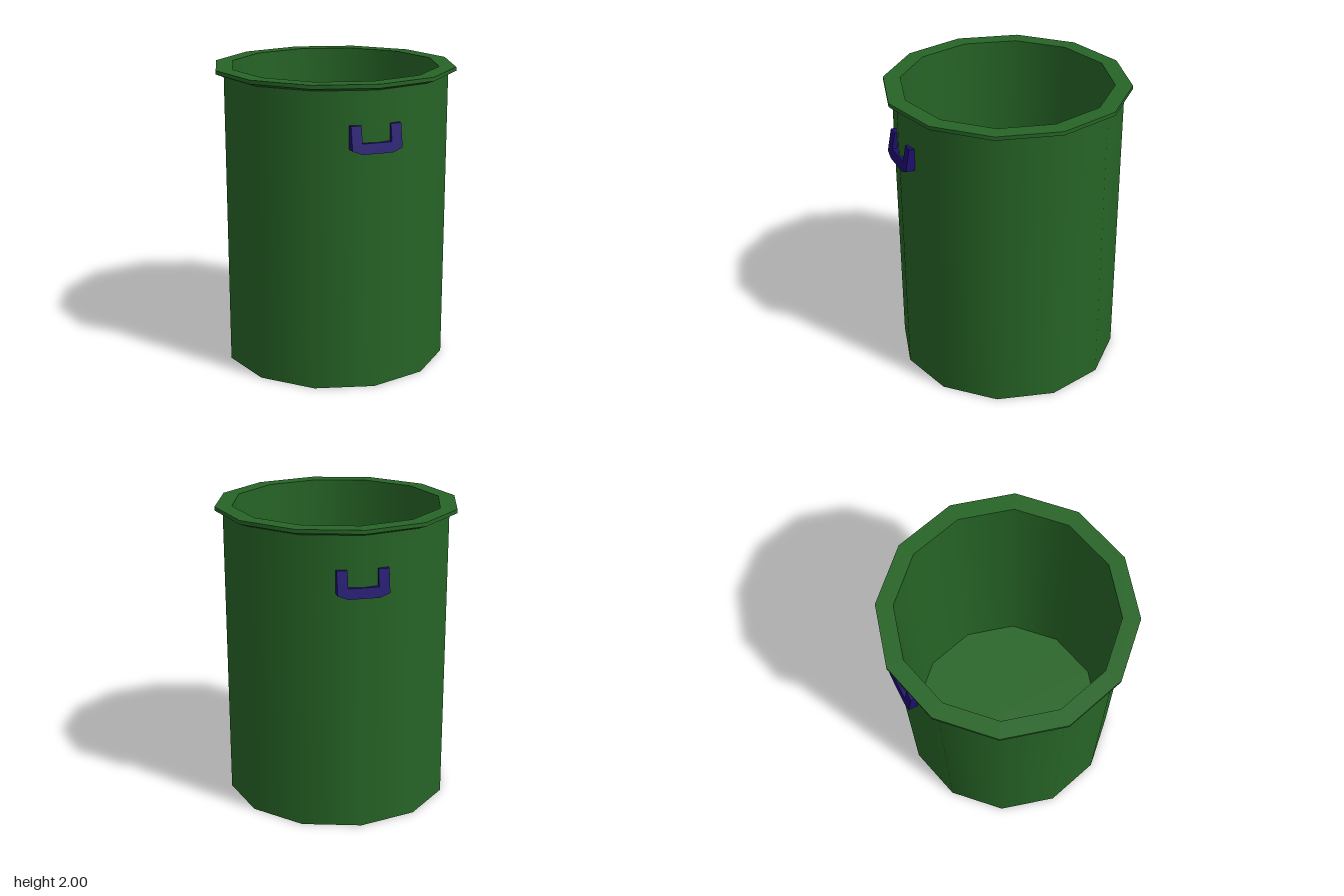
import * as THREE from 'three';
import { mergeGeometries } from 'three/addons/utils/BufferGeometryUtils.js';

const SIDES = 12;

// Lathe each profile segment on its own, so sides stay smooth and rims stay sharp
function creasedLathe(profile) {
  const bands = [];
  for (let i = 0; i < profile.length - 1; i++) {
    const ends = [profile[i], profile[i + 1]].map(([r, y]) => new THREE.Vector2(r, y));
    bands.push(new THREE.LatheGeometry(ends, SIDES));
  }
  return mergeGeometries(bands);
}

// U-shaped grip whose front face leans outwards towards the bottom
function handleGeometry() {
  const half = [[0.165, 1.74], [0.097, 1.74], [0.097, 1.63]];
  const lower = [[0.165, 1.59], [0.1, 1.565]];
  const mirror = (points) => points.map(([x, y]) => [-x, y]).reverse();
  const outline = [...half, ...mirror(half), ...mirror(lower).reverse(), ...lower.slice().reverse()];
  const shape = new THREE.Shape(outline.map(([x, y]) => new THREE.Vector2(x, y)));
  const geometry = new THREE.ExtrudeGeometry(shape, { depth: 1, bevelEnabled: false });
  const pos = geometry.attributes.position;
  for (let i = 0; i < pos.count; i++) {
    const front = 0.745 + (1.74 - pos.getY(i)) * 0.19;
    pos.setZ(i, pos.getZ(i) > 0.5 ? front : 0.705);
  }
  geometry.computeVertexNormals();
  return geometry;
}

export function createModel() {
  const model = new THREE.Group();
  model.name = 'bin';
  const green = new THREE.MeshStandardMaterial({ color: 0x266426, side: THREE.DoubleSide });
  const blue = new THREE.MeshStandardMaterial({ color: 0x1e0f70 });

  // Hollow body with flared rim: base, outer wall, rim, inner wall, floor
  const body = new THREE.Mesh(creasedLathe([
    [0, 0], [0.755, 0], [0.755, 1.955], [0.807, 1.975],
    [0.807, 2], [0.695, 2], [0.695, 0.06], [0, 0.06],
  ]), green);
  body.name = 'body';
  model.add(body);

  // Handles on the front and back
  const grip = handleGeometry();
  ['frontHandle', 'backHandle'].forEach((name, i) => {
    const handle = new THREE.Mesh(grip, blue);
    handle.name = name;
    handle.rotation.y = i * Math.PI;
    model.add(handle);
  });

  return model;
}
